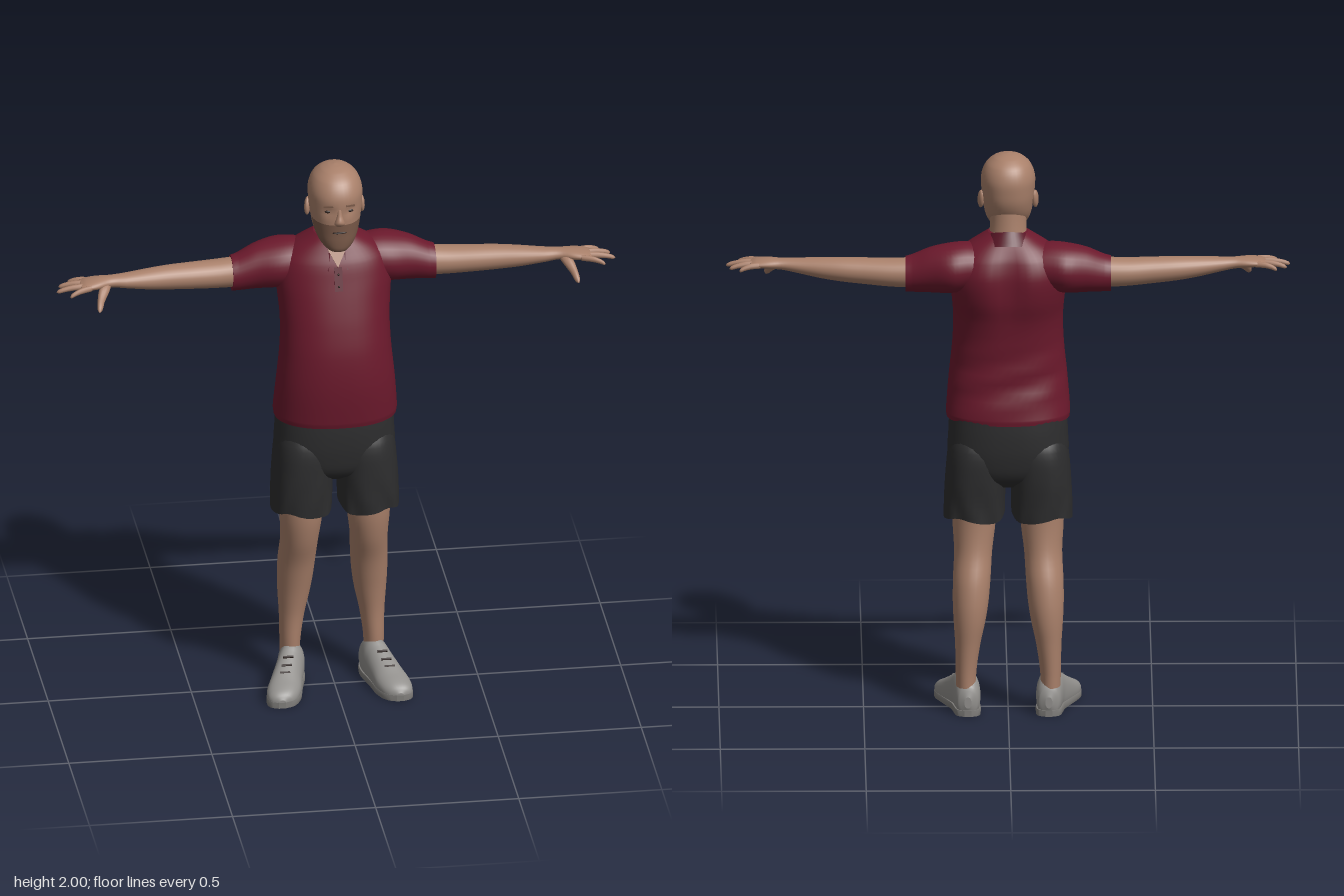
import * as THREE from 'three';

const mat = (name, color, side = THREE.FrontSide) => {
  const m = new THREE.MeshStandardMaterial({ color, side });
  m.name = name;
  return m;
};

// Smooth interpolation of section rows by their first value
function sample(rows, i, f) {
  const slope = (k, c) => {
    const a = rows[Math.max(k - 1, 0)], b = rows[Math.min(k + 1, rows.length - 1)];
    return (b[c] - a[c]) / (b[0] - a[0]);
  };
  const p = rows[i], q = rows[i + 1], d = q[0] - p[0];
  const f2 = f * f, f3 = f2 * f;
  return p.map((v, c) => c === 0 ? v + d * f
    : v * (2 * f3 - 3 * f2 + 1) + q[c] * (3 * f2 - 2 * f3)
      + slope(i, c) * d * (f3 - 2 * f2 + f) + slope(i + 1, c) * d * (f3 - f2));
}

// Loft along an axis (0 x, 1 y, 2 z). Row: [along, centreU, centreV, halfU, halfV],
// where U and V are the next two axes in the order x, y, z, x, y.
function loft(axis, rows, { n = 28, steps = 4, power = 2, rule } = {}) {
  const rings = [];
  for (let i = 0; i < rows.length - 1; i++)
    for (let s = 0; s < steps; s++) rings.push(sample(rows, i, s / steps));
  rings.push(rows[rows.length - 1]);
  const pos = [], idx = [];
  const bend = (v) => Math.sign(v) * Math.abs(v) ** (2 / power);
  const put = (t, u, v, a) => {
    const p = new THREE.Vector3();
    p.setComponent(axis, t);
    p.setComponent((axis + 1) % 3, u);
    p.setComponent((axis + 2) % 3, v);
    if (rule) rule(p, a);
    pos.push(p.x, p.y, p.z);
  };
  const ring = ([t, cu, cv, hu, hv]) => {
    for (let j = 0; j < n; j++) {
      const a = j / n * Math.PI * 2;
      put(t, cu + hu * bend(Math.cos(a)), cv + hv * bend(Math.sin(a)), a);
    }
  };
  rings.forEach(ring);
  for (let i = 0; i < rings.length - 1; i++)
    for (let j = 0; j < n; j++) {
      const a = i * n + j, b = i * n + (j + 1) % n;
      idx.push(a, b, b + n, a, b + n, a + n);
    }
  // end caps with their own vertices, so their edges stay crisp
  for (const [r, flip] of [[rings[0], true], [rings[rings.length - 1], false]]) {
    const base = pos.length / 3;
    ring(r);
    put(r[0], r[1], r[2], 0);
    for (let j = 0; j < n; j++) {
      const a = base + j, b = base + (j + 1) % n;
      idx.push(base + n, flip ? b : a, flip ? a : b);
    }
  }
  const g = new THREE.BufferGeometry();
  g.setAttribute('position', new THREE.Float32BufferAttribute(pos, 3));
  g.setIndex(idx);
  g.computeVertexNormals();
  return g;
}

function mirrored(geo) {
  const g = geo.clone().scale(-1, 1, 1), ix = g.index.array;
  for (let i = 0; i < ix.length; i += 3) [ix[i], ix[i + 1]] = [ix[i + 1], ix[i]];
  g.computeVertexNormals();
  return g;
}

export function createModel() {
  const skin = mat('skin', 0xa9806a), stubble = mat('stubble', 0x7a5a49);
  const dark = mat('dark features', 0x2e211c), red = mat('shirt red', 0x6b192c);
  const collarRed = mat('collar red', 0x5a1626, THREE.DoubleSide);
  const black = mat('shorts charcoal', 0x2d2d2e), grey = mat('shoe grey', 0x92908d);
  const soleGrey = mat('sole grey', 0x7f7d7a);
  const model = new THREE.Group();
  const add = (name, geo, material) => {
    const m = new THREE.Mesh(geo, material);
    m.name = name;
    model.add(m);
    return m;
  };
  const pair = (name, geo, material) => {
    add('left ' + name, geo, material);
    add('right ' + name, mirrored(geo), material);
  };

  // Shirt body, with a groove between the shoulder blades and soft folds at the waist
  const torso = [
    [1.055, .213, .163, -.148], [1.075, .215, .168, -.15], [1.2, .205, .178, -.13],
    [1.32, .193, .172, -.13], [1.42, .19, .152, -.145], [1.5, .196, .13, -.17],
    [1.58, .202, .105, -.178], [1.64, .188, .085, -.162], [1.68, .15, .064, -.137],
    [1.715, .095, .045, -.108], [1.73, .07, .034, -.092],
  ].map(([y, w, f, b]) => [y, (f + b) / 2, 0, (f - b) / 2, w]);
  add('shirt body', loft(1, torso, {
    n: 48, power: 2.25,
    rule: (p) => {
      if (p.z < -.02) {
        p.z += .024 * Math.exp(-((p.x / .05) ** 2) - ((p.y - 1.57) / .12) ** 2);
        p.z += .005 * Math.sin(p.y * 60 + p.x * 14) * Math.exp(-(((p.y - 1.2) / .1) ** 2));
      }
    },
  }), red);
  pair('sleeve', loft(0, [
    [.06, 1.61, -.05, .07, .08], [.14, 1.61, -.055, .085, .095], [.2, 1.605, -.06, .087, .1],
    [.27, 1.597, -.055, .079, .08], [.33, 1.583, -.047, .066, .066], [.355, 1.579, -.045, .062, .062],
  ]), red);

  // Collar: a folded band that opens at the front
  const band = new THREE.PlaneGeometry(1, 1, 40, 4), bp = band.attributes.position;
  for (let i = 0; i < bp.count; i++) {
    const a = .3 + (bp.getX(i) + .5) * (Math.PI * 2 - .6), v = .5 - bp.getY(i);
    const front = Math.max(Math.cos(a), 0), r = .072 + .028 * v;
    bp.setXYZ(i, Math.sin(a) * r * (1 + .1 * front),
      1.713 - .032 * Math.cos(a) - v * (.045 + .012 * front),
      -.025 + Math.cos(a) * (r + .004 + .018 * front));
  }
  band.computeVertexNormals();
  add('collar', band, collarRed);

  // Open neckline, placket and buttons
  const vee = new THREE.Shape([[-.032, .065], [0, 0], [.032, .065]].map((q) => new THREE.Vector2(...q)));
  const neckline = add('neckline', new THREE.ExtrudeGeometry(vee, { depth: .006, bevelEnabled: false }), skin);
  neckline.position.set(0, 1.635, .085);
  neckline.rotation.x = -.5;
  const placket = add('placket', new THREE.BoxGeometry(.028, .085, .006), collarRed);
  placket.position.set(0, 1.598, .1);
  placket.rotation.x = -.34;
  for (const y of [1.575, 1.615]) {
    const button = add('button', new THREE.SphereGeometry(.004, 8, 6), dark);
    button.position.set(0, y, .104 - (y - 1.598) * .35);
  }

  // Shorts: hips and two flaring legs with folds near the hem
  add('shorts hips', loft(1, [
    [.81, -.005, 0, .06, .08], [.85, -.005, 0, .115, .17], [.92, -.006, 0, .136, .207],
    [1.0, -.006, 0, .142, .207], [1.08, -.006, 0, .14, .203],
  ], { n: 40, power: 2.4 }), black);
  pair('shorts leg', loft(1, [
    [.7, 0, .117, .122, .106], [.76, 0, .116, .127, .106], [.85, -.003, .112, .133, .105],
    [.95, -.005, .105, .13, .102], [1.02, -.005, .1, .1, .09],
  ], {
    n: 40, power: 2.4,
    rule: (p, a) => {
      const k = Math.max(0, 1 - (p.y - .7) / .14);
      p.z += .006 * k * Math.sin(a * 7 + p.y * 20);
      p.y += .01 * k * Math.sin(a * 3);
    },
  }), black);

  // Legs
  pair('leg', loft(1, [
    [.07, -.07, .146, .045, .034], [.15, -.068, .146, .05, .036], [.25, -.07, .14, .056, .044],
    [.33, -.068, .134, .066, .055], [.4, -.06, .13, .073, .062], [.48, -.043, .126, .077, .065],
    [.57, -.012, .121, .079, .066], [.66, .003, .118, .084, .074], [.76, .005, .117, .088, .078],
  ]), skin);

  // Shoes: upper and sole share one toed-out outline
  const shoe = [
    [-.125, .14, .05, .012, .02], [-.112, .14, .052, .036, .054], [-.07, .142, .06, .046, .077],
    [-.03, .148, .064, .048, .082], [0, .158, .056, .05, .074], [.05, .175, .042, .055, .06],
    [.1, .19, .032, .06, .045], [.14, .2, .026, .053, .035], [.163, .205, .022, .037, .025],
    [.174, .206, .02, .012, .01],
  ];
  pair('shoe upper', loft(2, shoe, { power: 2.2, rule: (p) => { p.y = Math.max(p.y, .004); } }), grey);
  pair('shoe sole', loft(2, shoe.map(([z, x, y, w]) => [z * 1.008, x, .011, w * 1.03, .03]),
    { power: 3, rule: (p) => { p.y = THREE.MathUtils.clamp(p.y, 0, .022); } }), soleGrey);
  for (const [x, y, z] of [[.164, .123, .02], [.174, .105, .048], [.183, .089, .073]])
    pair('shoe lace', new THREE.BoxGeometry(.036, .006, .007).rotateX(.55).translate(x, y - .002, z), dark);

  // Arms and palms
  pair('arm', loft(0, [
    [.28, 1.585, -.047, .055, .055], [.4, 1.583, -.04, .05, .055], [.5, 1.586, -.03, .046, .051],
    [.58, 1.589, -.022, .042, .047], [.65, 1.592, -.012, .036, .042], [.73, 1.597, 0, .026, .034],
    [.785, 1.601, .006, .02, .029], [.83, 1.602, .014, .019, .041], [.87, 1.601, .019, .015, .045],
    [.89, 1.599, .021, .01, .042],
  ]), skin);

  // Fingers: [base z, tip x, tip z]; the thumb drops forward
  for (const [z0, x1, z1] of [[-.014, .93, -.034], [.01, .964, -.004], [.034, .976, .038], [.053, .935, .084]]) {
    const row = (f, r, y) => [.855 + (x1 - .855) * f, y, z0 + (z1 - z0) * f, r, r];
    pair('finger', loft(0, [row(0, .011, 1.6), row(.45, .0105, 1.599), row(.75, .009, 1.594),
      row(.94, .007, 1.588), row(1, .001, 1.586)], { n: 10, steps: 3 }), skin);
  }
  pair('thumb', loft(2, [[.005, .79, 1.597, .014, .012], [.045, .81, 1.585, .019, .016],
    [.08, .826, 1.562, .013, .014], [.108, .834, 1.544, .009, .011], [.12, .837, 1.537, .001, .001]],
  { n: 12 }), skin);

  // Neck and head
  add('neck', loft(1, [[1.62, -.028, 0, .065, .075], [1.7, -.024, 0, .064, .066],
    [1.76, -.016, 0, .066, .063], [1.82, -.008, 0, .07, .064]]), skin);
  const head = loft(1, [
    [1.703, .085, 0, .012, .014], [1.712, .077, 0, .04, .036], [1.74, .056, 0, .068, .062],
    [1.78, .031, 0, .094, .079], [1.83, .018, 0, .11, .088], [1.88, .014, 0, .115, .093],
    [1.92, .012, 0, .113, .093], [1.96, .009, 0, .094, .078], [1.985, .007, 0, .062, .052],
    [1.996, .006, 0, .031, .026], [2, .006, 0, .003, .003],
  ], {
    n: 40, power: 2.15,
    rule: (p) => { // shallow eye sockets
      if (p.z > .05) p.z -= .008 * Math.exp(-(((Math.abs(p.x) - .036) / .018) ** 2) - ((p.y - 1.866) / .016) ** 2);
    },
  });
  // Beard shadow on the lower front of the face
  const hp = head.attributes.position, ix = [...head.index.array], parts = [[], []];
  for (let i = 0; i < ix.length; i += 3) {
    const t = ix.slice(i, i + 3), mean = (k) => t.reduce((s, v) => s + hp.getComponent(v, k), 0) / 3;
    parts[mean(1) < 1.815 && mean(2) > .045 ? 1 : 0].push(...t);
  }
  head.setIndex(parts.flat());
  head.addGroup(0, parts[0].length, 0);
  head.addGroup(parts[0].length, parts[1].length, 1);
  add('head', head, [skin, stubble]);

  // Facial features
  add('nose', loft(1, [[1.813, .122, 0, .006, .012], [1.823, .124, 0, .017, .019],
    [1.835, .124, 0, .021, .016], [1.855, .122, 0, .014, .01], [1.882, .12, 0, .008, .008]], { n: 16 }), skin);
  add('mouth', new THREE.SphereGeometry(1, 16, 8).scale(.025, .004, .006).translate(0, 1.788, .124), dark);
  pair('eye', new THREE.SphereGeometry(1, 14, 10).scale(.014, .006, .006).translate(.036, 1.866, .111), dark);
  pair('eyebrow', new THREE.BoxGeometry(.034, .006, .007).rotateZ(-.08).rotateY(.3).translate(.038, 1.888, .119), stubble);
  pair('ear', new THREE.SphereGeometry(1, 14, 10).scale(.011, .033, .019).rotateX(-.2).rotateY(.3)
    .translate(.094, 1.838, -.006), skin);

  return model;
}
